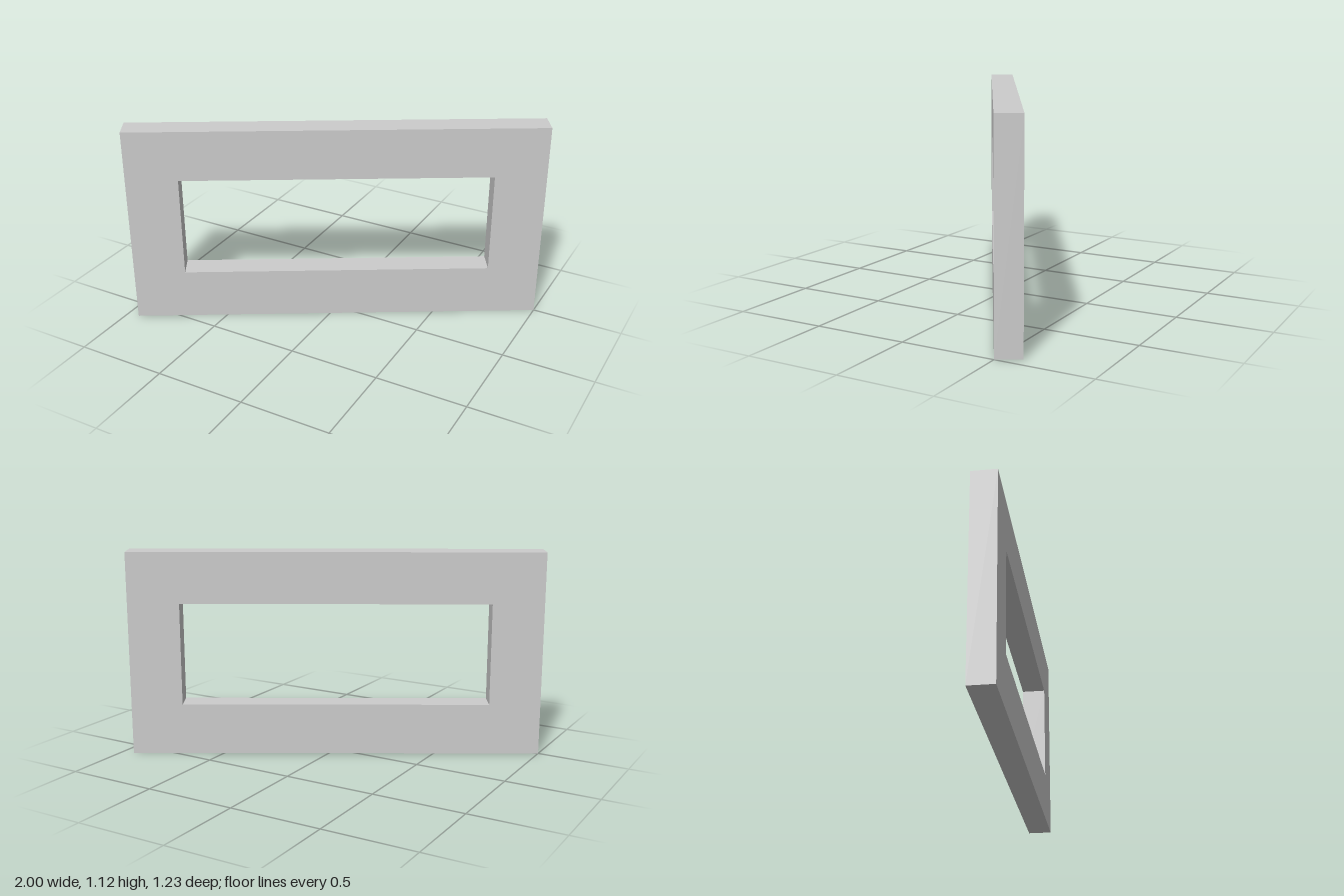
import * as THREE from 'three';

const LENGTH = 2.232, HEIGHT = 1.116, DEPTH = 0.134, BORDER = 0.279;

// Closed rectangle, centred on x, from y0 to y1
function rectangle(PathType, halfWidth, y0, y1) {
  return new PathType([
    new THREE.Vector2(-halfWidth, y0),
    new THREE.Vector2(halfWidth, y0),
    new THREE.Vector2(halfWidth, y1),
    new THREE.Vector2(-halfWidth, y1),
  ]);
}

export function createModel() {
  const model = new THREE.Group();
  model.name = 'rectangularFrame';

  // Slab with a rectangular opening
  const outline = rectangle(THREE.Shape, LENGTH / 2, 0, HEIGHT);
  outline.holes.push(rectangle(THREE.Path, LENGTH / 2 - BORDER, BORDER, HEIGHT - BORDER));
  const geometry = new THREE.ExtrudeGeometry(outline, { depth: DEPTH, bevelEnabled: false });
  geometry.translate(0, 0, -DEPTH / 2);

  const material = new THREE.MeshStandardMaterial({ color: 0xcccccc, flatShading: true });
  const frame = new THREE.Mesh(geometry, material);
  frame.name = 'frame';

  // The frame stands turned about the vertical axis
  frame.rotation.y = Math.PI / 6;
  model.add(frame);
  return model;
}
